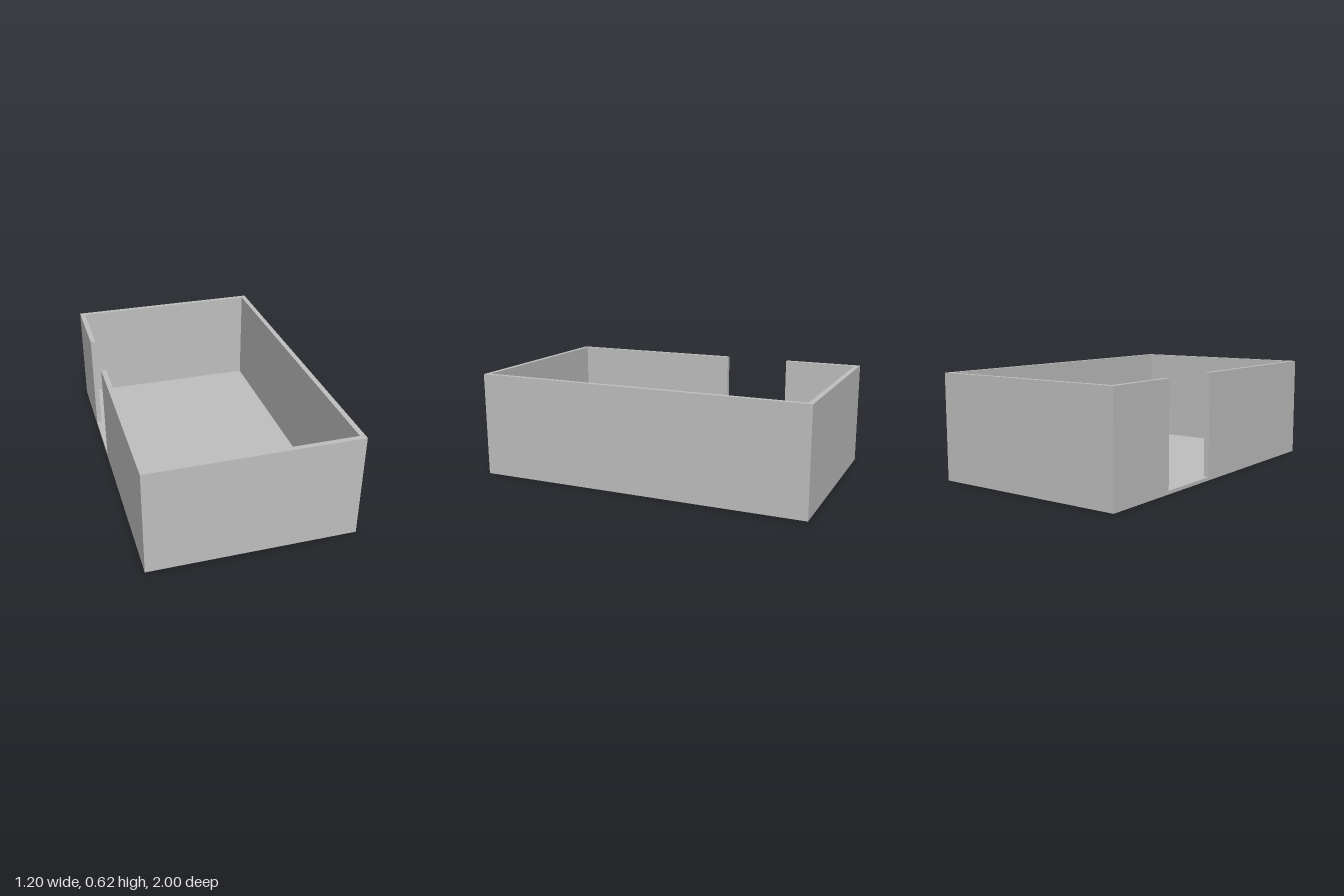
import * as THREE from 'three';

const W = 0.6, D = 1, H = 0.62;   // half width, half depth, full height
const T = 0.03, FLOOR = 0.02;     // wall and floor thickness
const GAP = [-0.525, -0.12];      // doorway along z in the -x wall

export function createModel() {
  const group = new THREE.Group();
  group.name = 'openBox';
  const grey = new THREE.MeshStandardMaterial({ color: 0xc0c0c0 });
  grey.name = 'grey';

  // Floor slab, reaching the outer edge under the doorway
  const floor = new THREE.Mesh(new THREE.BoxGeometry(2 * W, FLOOR, 2 * D), grey);
  floor.name = 'floor';
  floor.position.y = FLOOR / 2;
  group.add(floor);

  // One continuous wall around the floor, broken by the doorway (plan as x, -z)
  const w = W - T, d = D - T;
  const plan = [
    [-W, GAP[0]], [-W, -D], [W, -D], [W, D], [-W, D], [-W, GAP[1]],
    [-w, GAP[1]], [-w, d], [w, d], [w, -d], [-w, -d], [-w, GAP[0]],
  ].map(([x, z]) => new THREE.Vector2(x, -z));
  const geometry = new THREE.ExtrudeGeometry(new THREE.Shape(plan), { depth: H - FLOOR, bevelEnabled: false });
  geometry.rotateX(-Math.PI / 2);
  const walls = new THREE.Mesh(geometry, grey);
  walls.name = 'walls';
  walls.position.y = FLOOR;
  group.add(walls);

  return group;
}
